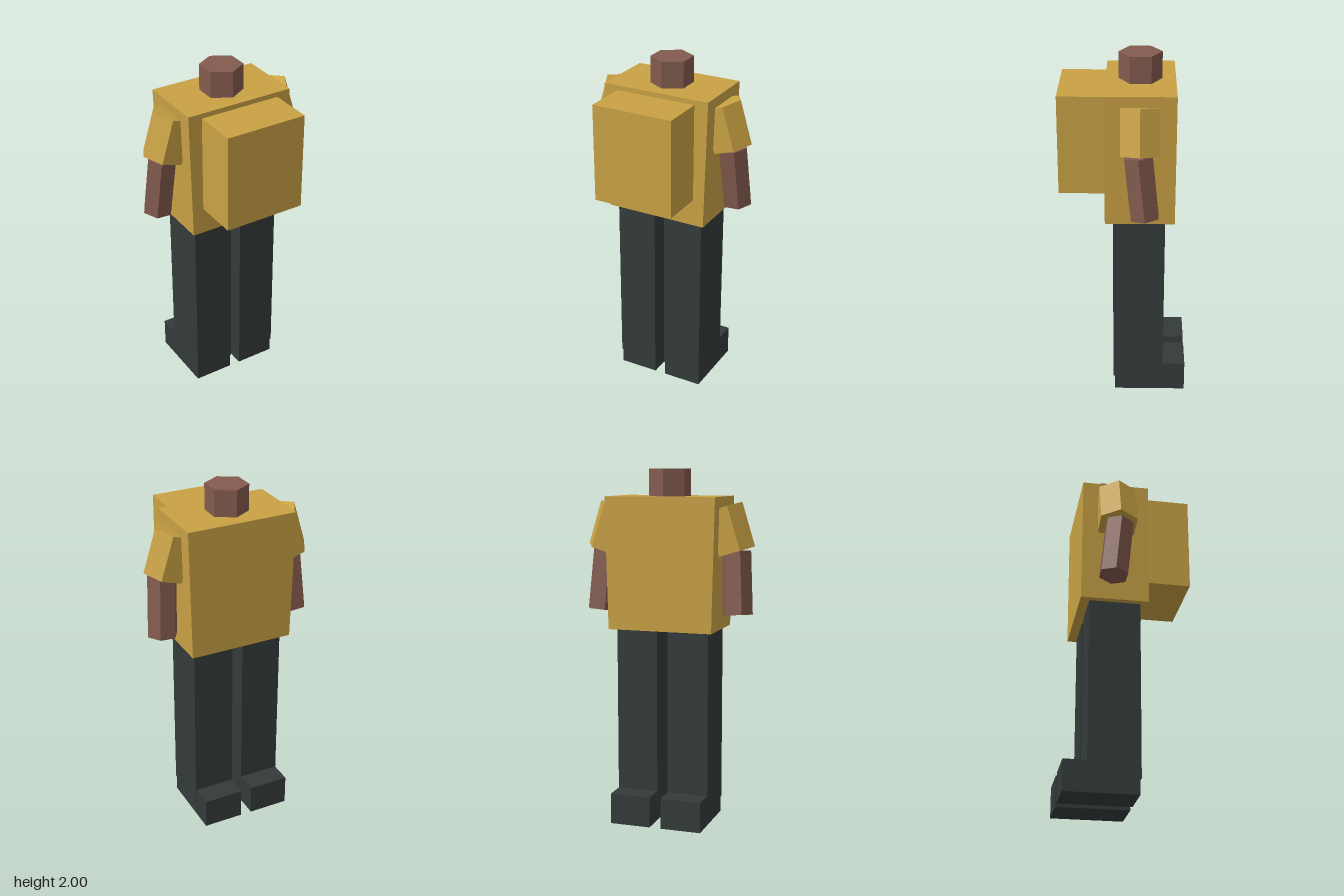
import * as THREE from 'three';

const yellow = new THREE.MeshStandardMaterial({ color: 0xc9a244 });
yellow.name = 'mustard cloth';
const skin = new THREE.MeshStandardMaterial({ color: 0x835b4e });
skin.name = 'brown skin';
const dark = new THREE.MeshStandardMaterial({ color: 0x343b3b });
dark.name = 'dark trousers';

// Box given by its minimum and maximum corners
function box(name, min, max, material) {
  const size = max.map((v, i) => v - min[i]);
  const mesh = new THREE.Mesh(new THREE.BoxGeometry(...size), material);
  mesh.position.set(...max.map((v, i) => (v + min[i]) / 2));
  mesh.name = name;
  return mesh;
}

// Flat-sided hexagonal prism running from one cap centre to the other
function hexLimb(name, bottom, top, radius, material, turn) {
  const a = new THREE.Vector3(...bottom);
  const b = new THREE.Vector3(...top);
  const geometry = new THREE.CylinderGeometry(radius, radius, a.distanceTo(b), 6)
    .rotateY(turn).toNonIndexed();
  geometry.computeVertexNormals();
  const mesh = new THREE.Mesh(geometry, material);
  mesh.position.copy(a).add(b).multiplyScalar(0.5);
  mesh.quaternion.setFromUnitVectors(new THREE.Vector3(0, 1, 0), b.sub(a).normalize());
  mesh.name = name;
  return mesh;
}

export function createModel() {
  const model = new THREE.Group();
  model.name = 'blockFigure';

  // Torso, slightly narrower at the waist
  const torso = box('torso', [-0.318, 1.11, -0.282], [0.318, 1.85, 0.103], yellow);
  const p = torso.geometry.attributes.position;
  for (let i = 0; i < p.count; i++) {
    if (p.getY(i) < 0) p.setX(i, p.getX(i) * 0.945);
  }
  torso.geometry.computeVertexNormals();
  model.add(torso);

  // Pack on the chest side, and the neck
  model.add(box('pack', [-0.237, 1.265, 0.1], [0.237, 1.822, 0.358], yellow));
  model.add(hexLimb('neck', [0, 1.84, -0.088], [0, 2, -0.088], 0.119, skin, 0));

  // Arms and legs, mirrored
  for (const s of [1, -1]) {
    const side = s > 0 ? 'left' : 'right';
    model.add(hexLimb(side + 'Sleeve', [s * 0.376, 1.544, -0.088], [s * 0.302, 1.786, -0.088],
      0.121, yellow, Math.PI / 6));
    model.add(hexLimb(side + 'Forearm', [s * 0.405, 1.2, -0.116], [s * 0.382, 1.55, -0.079],
      0.086, skin, Math.PI / 6));

    const x = (a, b) => (s > 0 ? [a, b] : [-b, -a]);
    const [l0, l1] = x(0.031, 0.268);
    model.add(box(side + 'Leg', [l0, 0.09, -0.23], [l1, 1.108, 0.06], dark));
    const [f0, f1] = x(0.033, 0.266);
    model.add(box(side + 'Foot', [f0, 0, -0.359], [f1, 0.175, 0.053], dark));
  }
  return model;
}
